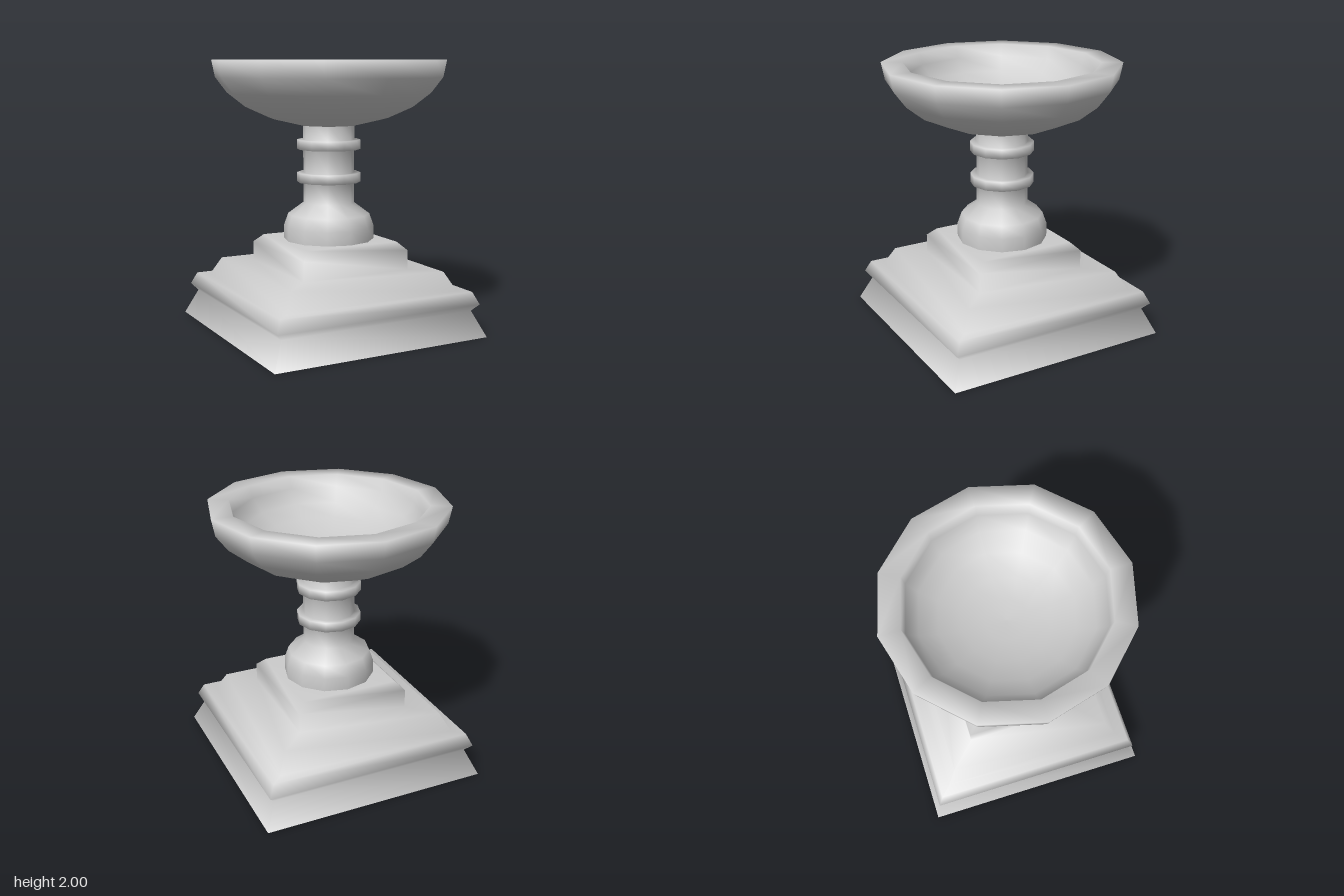
import * as THREE from 'three';

const material = new THREE.MeshStandardMaterial({ color: 0xcccccc, side: THREE.DoubleSide });

// Turned part: profile of [radius, height], listed upward along the outside
function turned(name, profile, sides, scale = 1, start = 0) {
  const points = profile.map(([r, y]) => new THREE.Vector2(r * scale, y));
  const mesh = new THREE.Mesh(new THREE.LatheGeometry(points, sides, start), material);
  mesh.name = name;
  return mesh;
}

// Square part: four-sided sweep, profile given as [half width, height]
const squared = (name, profile) => turned(name, profile, 4, Math.SQRT2, Math.PI / 4);

export function createModel() {
  const group = new THREE.Group();
  group.name = 'pedestalBowl';

  // Hollow stepped plinth, open underneath
  group.add(squared('steppedBase', [
    [0.85, 0], [0.765, 0.19], [0.81, 0.24], [0.77, 0.33], [0.69, 0.33],
    [0.62, 0.465], [0.43, 0.465], [0.43, 0.61], [0.37, 0.67], [0, 0.67],
  ]));

  // Bulbous foot and shaft with two collars
  const shaft = 0.19, collar = 0.236;
  const profile = [[0.337, 0.67], [0.337, 0.77], [0.305, 0.86], [shaft, 0.945]];
  for (const [low, high] of [[1.1, 1.17], [1.345, 1.415]]) {
    profile.push([shaft, low], [collar, low], [collar, high], [shaft, high]);
  }
  profile.push([shaft, 1.53]);
  group.add(turned('column', profile, 12));

  // Bowl: outer wall, flat rim, inner hollow
  group.add(turned('bowl', [
    [0, 1.52], [0.21, 1.522], [0.44, 1.575], [0.62, 1.655], [0.755, 1.76],
    [0.842, 1.875], [0.867, 2], [0.712, 2], [0.69, 1.91], [0.61, 1.81],
    [0.48, 1.73], [0.32, 1.67], [0.15, 1.64], [0, 1.635],
  ], 12));

  return group;
}
